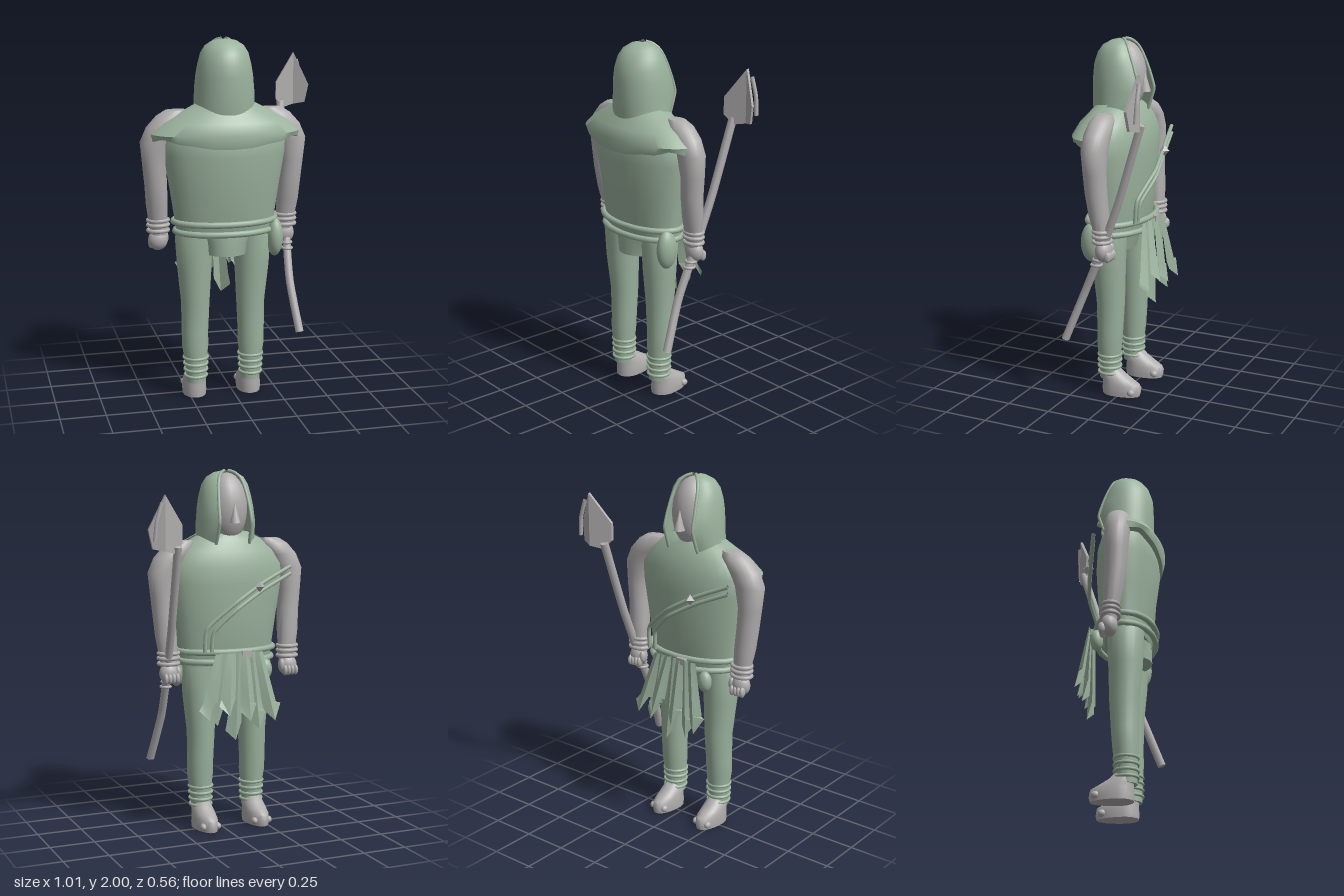
import * as THREE from 'three';
import { toCreasedNormals } from 'three/addons/utils/BufferGeometryUtils.js';

const cloth = new THREE.MeshStandardMaterial({ color: 0x9bb29d, side: THREE.DoubleSide });
cloth.name = 'green cloth';
const skin = new THREE.MeshStandardMaterial({ color: 0xb0adad, side: THREE.DoubleSide });
skin.name = 'pale grey';

const V = (x, y, z) => new THREE.Vector3(x, y, z);
const MID = -0.05; // body axis in x

// Point on a section [y, cx, cz, rx, front radius (+z), back radius (-z)]
function ringPoint([y, cx, cz, rx, rf, rb], t) {
  const s = Math.sin(t);
  return V(cx + rx * Math.cos(t), y, cz + (s > 0 ? rf : rb) * s);
}

// Skin a stack of sections, bottom to top; arc limits leave it open
function loft(rows, { n = 24, from = 0, to = Math.PI * 2, caps = true, warp } = {}) {
  const all = caps ? [rows[0].map((v, i) => (i > 2 ? 0 : v)), ...rows,
    rows[rows.length - 1].map((v, i) => (i > 2 ? 0 : v))] : rows;
  const pos = [], idx = [];
  all.forEach((r, j) => {
    for (let i = 0; i <= n; i++) {
      const t = i === n && to - from > 6.28 ? from : from + (to - from) * i / n;
      const p = ringPoint(r, t);
      if (warp) warp(p, t, j);
      pos.push(p.x, p.y, p.z);
      if (i < n && j < all.length - 1) {
        const a = j * (n + 1) + i, c = a + n + 1;
        idx.push(a, c, a + 1, a + 1, c, c + 1);
      }
    }
  });
  const g = new THREE.BufferGeometry();
  g.setAttribute('position', new THREE.Float32BufferAttribute(pos, 3));
  g.setIndex(idx);
  return toCreasedNormals(g, 0.9);
}

function tube(points, r, closed = false, n = 32) {
  const curve = new THREE.CatmullRomCurve3(points, closed, 'catmullrom', 0.3);
  return new THREE.TubeGeometry(curve, n, r, 8, closed);
}

function ring(section, r) {
  const pts = [];
  for (let i = 0; i < 16; i++) pts.push(ringPoint(section, i / 16 * Math.PI * 2));
  return tube(pts, r, true, 40);
}

function ball(x, y, z, rx, ry, rz) {
  return new THREE.SphereGeometry(1, 18, 14).scale(rx, ry, rz).translate(x, y, z);
}

export function createModel() {
  const root = new THREE.Group();
  const add = (name, geo, mat) => {
    const m = new THREE.Mesh(geo, mat);
    m.name = name;
    root.add(m);
    return m;
  };

  // Body
  add('tunic', loft([
    [0.93, MID, 0.06, 0.27, 0.13, 0.12], [1.0, MID, 0.06, 0.275, 0.15, 0.14],
    [1.2, MID, 0.06, 0.305, 0.165, 0.155], [1.38, MID, 0.06, 0.335, 0.19, 0.165],
    [1.48, MID, 0.06, 0.34, 0.18, 0.16], [1.56, MID, 0.06, 0.29, 0.15, 0.14],
    [1.62, MID, 0.06, 0.21, 0.13, 0.11], [1.66, MID, 0.06, 0.13, 0.1, 0.08],
  ], { n: 32 }), cloth);
  add('hips', loft([
    [0.83, MID, 0.07, 0.125, 0.13, 0.08], [0.9, MID, 0.07, 0.14, 0.13, 0.1],
    [0.97, MID, 0.06, 0.2, 0.13, 0.11],
  ]), cloth);

  // Ragged shoulder cape over the +z side
  const rag = [0, 0.5, 0.9, 0.2, 0, -0.5, -0.6, -0.5, 0, 0.3, 0.9, 0.5, 0];
  add('shoulderCape', loft([
    [1.455, MID, 0.06, 0.35, 0.18, 0], [1.45, MID, 0.08, 0.405, 0.185, 0],
    [1.5, MID, 0.08, 0.41, 0.2, 0], [1.56, MID, 0.08, 0.34, 0.17, 0],
    [1.61, MID, 0.07, 0.25, 0.14, 0], [1.66, MID, 0.06, 0.15, 0.12, 0],
  ], { n: 36, from: 0.05, to: Math.PI - 0.05, caps: false,
    warp: (p, t, j) => {
      if (j > 1) return;
      const f = t / Math.PI * 12, i = Math.min(11, Math.floor(f));
      p.y += 0.035 * THREE.MathUtils.lerp(rag[i], rag[i + 1], f - i);
    } }), cloth);

  // Head, nose and hood
  add('face', ball(MID, 1.79, 0.045, 0.115, 0.195, 0.12), skin);
  const nose = new THREE.ConeGeometry(0.03, 0.11, 8).scale(1, 1, 1.2).translate(MID, 1.77, -0.075);
  add('nose', nose, skin);
  const hoodRows = [
    [1.6, MID, 0.06, 0.17, 0.155, 0.13], [1.64, MID, 0.06, 0.165, 0.16, 0.15],
    [1.72, MID, 0.06, 0.162, 0.16, 0.18], [1.8, MID, 0.06, 0.155, 0.16, 0.155],
    [1.86, MID, 0.06, 0.145, 0.155, 0.13], [1.92, MID, 0.06, 0.13, 0.135, 0.1],
    [1.96, MID, 0.06, 0.105, 0.105, 0.075], [1.985, MID, 0.06, 0.065, 0.06, 0.045],
    [1.995, MID, 0.06, 0.02, 0.02, 0.015],
  ];
  const gap = 0.62, h0 = -Math.PI / 2 + gap, h1 = Math.PI * 1.5 - gap;
  add('hood', loft(hoodRows, { n: 30, from: h0, to: h1, caps: false }), cloth);
  for (const t of [h0, h1])
    add('hoodRim', tube(hoodRows.map(r => ringPoint(r, t)), 0.009), cloth);

  // Arms, hands and bracelets
  for (const s of [-1, 1]) {
    const X = d => MID + s * d;
    add('arm', loft([
      [0.93, X(0.355), 0.005, 0.045, 0.035, 0.035], [1.0, X(0.36), 0.01, 0.052, 0.042, 0.042],
      [1.1, X(0.368), 0.022, 0.06, 0.055, 0.055], [1.22, X(0.375), 0.035, 0.062, 0.06, 0.06],
      [1.33, X(0.383), 0.04, 0.065, 0.062, 0.065], [1.45, X(0.375), 0.045, 0.085, 0.068, 0.072],
      [1.53, X(0.335), 0.045, 0.09, 0.068, 0.072], [1.59, X(0.285), 0.045, 0.085, 0.06, 0.065],
      [1.62, X(0.26), 0.045, 0.06, 0.04, 0.04],
    ]), skin);
    add('hand', ball(X(0.36), 0.9, 0, 0.055, 0.06, 0.045), skin);
    for (let i = 0; i < 4; i++)
      add('finger', ball(X(0.36) - 0.035 + i * 0.022, 0.875, -0.035, 0.014, 0.03, 0.02), skin);
    add('thumb', ball(X(0.315), 0.905, -0.02, 0.018, 0.035, 0.02), skin);
    for (const y of [0.955, 0.985, 1.012])
      add('bracelet', ring([y, X(0.36), 0.007, 0.056, 0.045, 0.045], 0.011), skin);
  }

  // Legs, ankle wraps and feet
  for (const s of [-1, 1]) {
    const X = d => MID - 0.01 + s * d;
    add('leg', loft([
      [0.09, X(0.155), 0.07, 0.054, 0.058, 0.055], [0.2, X(0.158), 0.07, 0.06, 0.062, 0.062],
      [0.3, X(0.16), 0.07, 0.074, 0.068, 0.072], [0.38, X(0.16), 0.067, 0.074, 0.07, 0.075],
      [0.55, X(0.157), 0.067, 0.079, 0.075, 0.085], [0.75, X(0.162), 0.072, 0.095, 0.09, 0.095],
      [0.92, X(0.163), 0.07, 0.105, 0.1, 0.1], [0.97, X(0.15), 0.07, 0.1, 0.1, 0.1],
    ]), cloth);
    for (let i = 0; i < 4; i++)
      add('ankleWrap', ring([0.125 + i * 0.035, X(0.157), 0.07, 0.06 + i * 0.002, 0.062, 0.062], 0.009), cloth);
    add('foot', loft([
      [0, X(0.157), 0.03, 0.064, 0.08, 0.145], [0.025, X(0.157), 0.03, 0.066, 0.082, 0.152],
      [0.065, X(0.157), 0.03, 0.064, 0.08, 0.145], [0.09, X(0.157), 0.04, 0.061, 0.07, 0.11],
      [0.12, X(0.157), 0.06, 0.056, 0.05, 0.08], [0.145, X(0.157), 0.065, 0.045, 0.04, 0.06],
    ]), skin);
    for (const [dx, z] of [[0.045, -0.08], [-0.04, -0.085]])
      add('toe', ball(X(0.157) + dx, 0.03, z, 0.018, 0.02, 0.022), skin);
  }

  // Belt, buckle and pouches
  add('upperBelt', ring([1.012, MID, 0.06, 0.285, 0.165, 0.165], 0.017), cloth);
  add('lowerBelt', ring([0.957, MID, 0.06, 0.275, 0.16, 0.165], 0.017), cloth);
  add('buckle', new THREE.BoxGeometry(0.06, 0.035, 0.03).translate(-0.1, 1.0, -0.12), skin);
  add('sidePouch', ball(0.22, 0.91, 0.12, 0.046, 0.108, 0.06), cloth);
  add('smallPouch', ball(-0.23, 0.9, -0.085, 0.04, 0.06, 0.035), cloth);

  // Tattered loincloth: overlapping creased strips [top x, bottom x, bottom y, bottom z]
  const strips = [
    [0.06, 0.15, 0.66, -0.16], [0.03, 0.09, 0.62, -0.13], [-0.01, 0.04, 0.68, -0.18],
    [-0.05, -0.02, 0.53, -0.125], [-0.09, -0.09, 0.64, -0.17], [-0.13, -0.16, 0.58, -0.135],
    [-0.17, -0.24, 0.63, -0.165],
  ];
  for (const [tx, bx, by, bz] of strips) {
    const g = new THREE.PlaneGeometry(1, 1, 2, 4), p = g.attributes.position;
    for (let i = 0; i < p.count; i++) {
      const u = p.getX(i) * 2, d = 0.5 - p.getY(i);
      const drop = d === 1 ? [0.09, 0, 0.05][Math.round(u) + 1] : 0;
      p.setXYZ(i, THREE.MathUtils.lerp(tx, bx, d) + u * (0.026 + 0.022 * d),
        THREE.MathUtils.lerp(1.01, by, d) + drop,
        THREE.MathUtils.lerp(-0.125, bz, d) - (1 - Math.abs(u)) * (0.01 + 0.025 * d));
    }
    add('loinclothStrip', toCreasedNormals(g, 0.4), cloth);
  }

  // Twin chest straps with a small charm
  for (const o of [0, 0.04])
    add('chestStrap', tube([
      V(-0.38, 1.47 - o, -0.09), V(-0.2, 1.39 - o, -0.125), V(-0.03, 1.29 - o, -0.15),
      V(0.13 - o, 1.15 - o / 2, -0.115), V(0.14 - o, 1.02, -0.105),
    ], 0.011), cloth);
  add('charm', new THREE.OctahedronGeometry(0.03).translate(-0.17, 1.37, -0.14), skin);

  // Spear: bent shaft, folded blade and lashing rod
  const shaft = [V(0.342, 0.38, 0.22), V(0.312, 0.65, 0.115), V(0.318, 0.9, 0.01),
    V(0.33, 1.2, -0.105), V(0.345, 1.61, -0.235)];
  add('spearShaft', tube(shaft, 0.023), skin);
  for (const [end, k] of [[shaft[0], 1], [shaft[4], -1]]) {
    const cap = add('shaftEnd', new THREE.CircleGeometry(0.023, 8), skin);
    cap.position.copy(end);
    cap.lookAt(end.clone().add(V(0, -0.94 * k, 0.35 * k)));
  }
  for (const y of [0.82, 0.85])
    add('gripWrap', ring([y, 0.315, 0.04 - (y - 0.82) * 0.4, 0.026, 0.028, 0.028], 0.008), skin);
  const halves = [
    [[0.425, 1.88], [0.31, 1.72], [0.31, 1.625], [0.36, 1.575], [0.425, 1.588]],
    [[0.425, 1.588], [0.485, 1.6], [0.505, 1.7], [0.425, 1.88]],
  ];
  for (const half of halves) {
    const shape = new THREE.Shape(half.map(([x, y]) => new THREE.Vector2(x, y)));
    const g = new THREE.ExtrudeGeometry(shape, { depth: 0.015, bevelEnabled: false });
    const p = g.attributes.position;
    for (let i = 0; i < p.count; i++)
      p.setZ(i, p.getZ(i) - 0.265 + 0.045 * Math.abs(p.getX(i) - 0.425) / 0.1);
    g.computeVertexNormals();
    add('spearBlade', g, skin);
  }
  add('bladeRod', tube([V(0.445, 1.84, -0.27), V(0.475, 1.74, -0.272), V(0.485, 1.64, -0.268)], 0.011), skin);

  return root;
}
